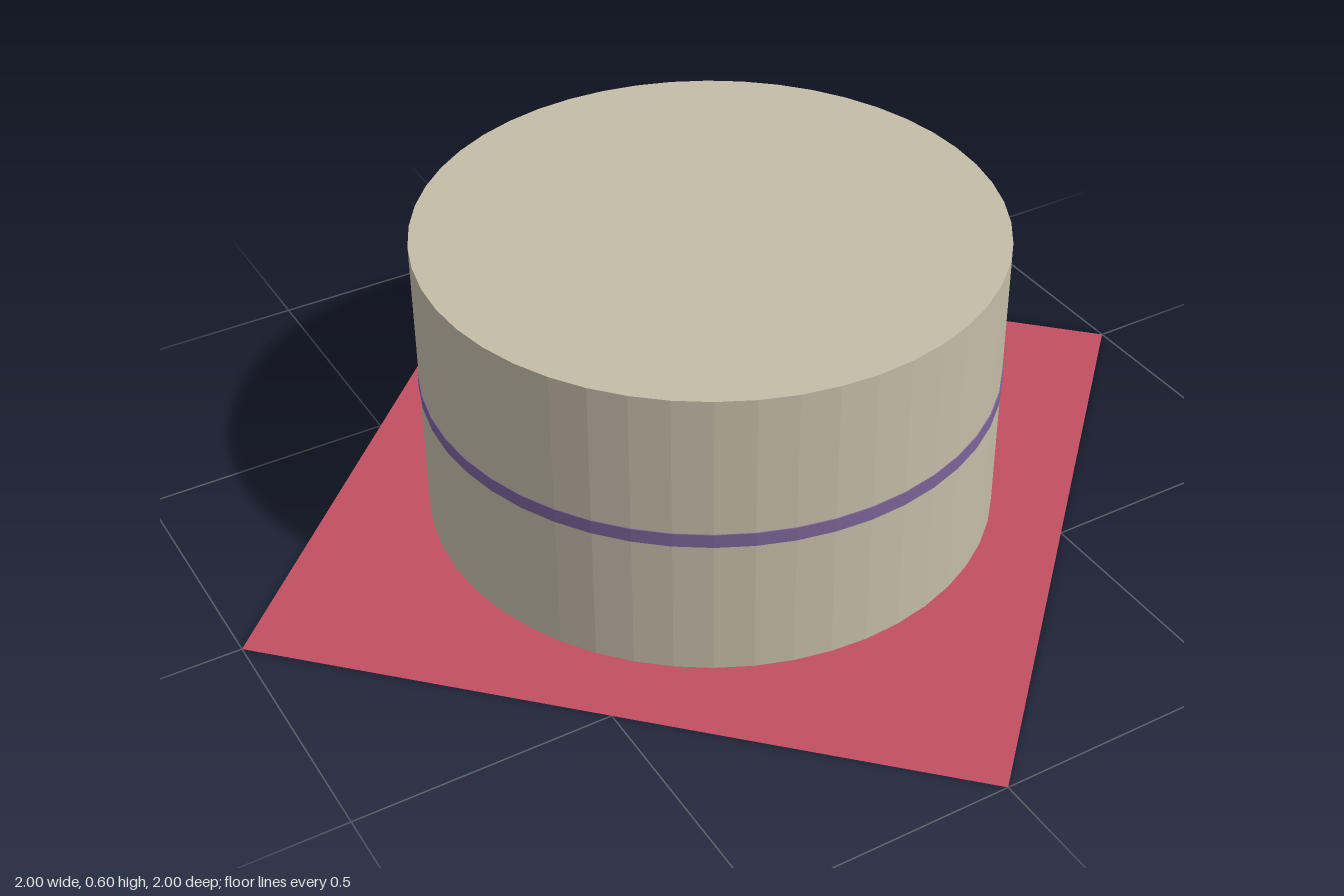
import * as THREE from 'three';

const SIDES = 48;

function part(name, geometry, color, y, options = {}) {
  const mesh = new THREE.Mesh(geometry, new THREE.MeshStandardMaterial({ color, ...options }));
  mesh.name = name;
  mesh.position.y = y;
  return mesh;
}

export function createModel() {
  const model = new THREE.Group();
  model.name = 'drumOnMat';

  // thin square mat, turned so its corners lie on the axes
  const matShape = new THREE.PlaneGeometry(Math.SQRT2, Math.SQRT2).rotateX(-Math.PI / 2).rotateY(Math.PI / 4);
  model.add(part('mat', matShape, 0xc04f61, 0, { side: THREE.DoubleSide }));

  // faceted drum, a hair above the mat so the faces do not coincide
  const drumShape = new THREE.CylinderGeometry(0.563, 0.563, 0.598, SIDES);
  model.add(part('drum', drumShape, 0xc4bca8, 0.301, { flatShading: true }));

  // narrow band around the middle
  const bandShape = new THREE.CylinderGeometry(0.565, 0.565, 0.028, SIDES);
  model.add(part('band', bandShape, 0x7a6498, 0.3, { flatShading: true }));

  return model;
}
